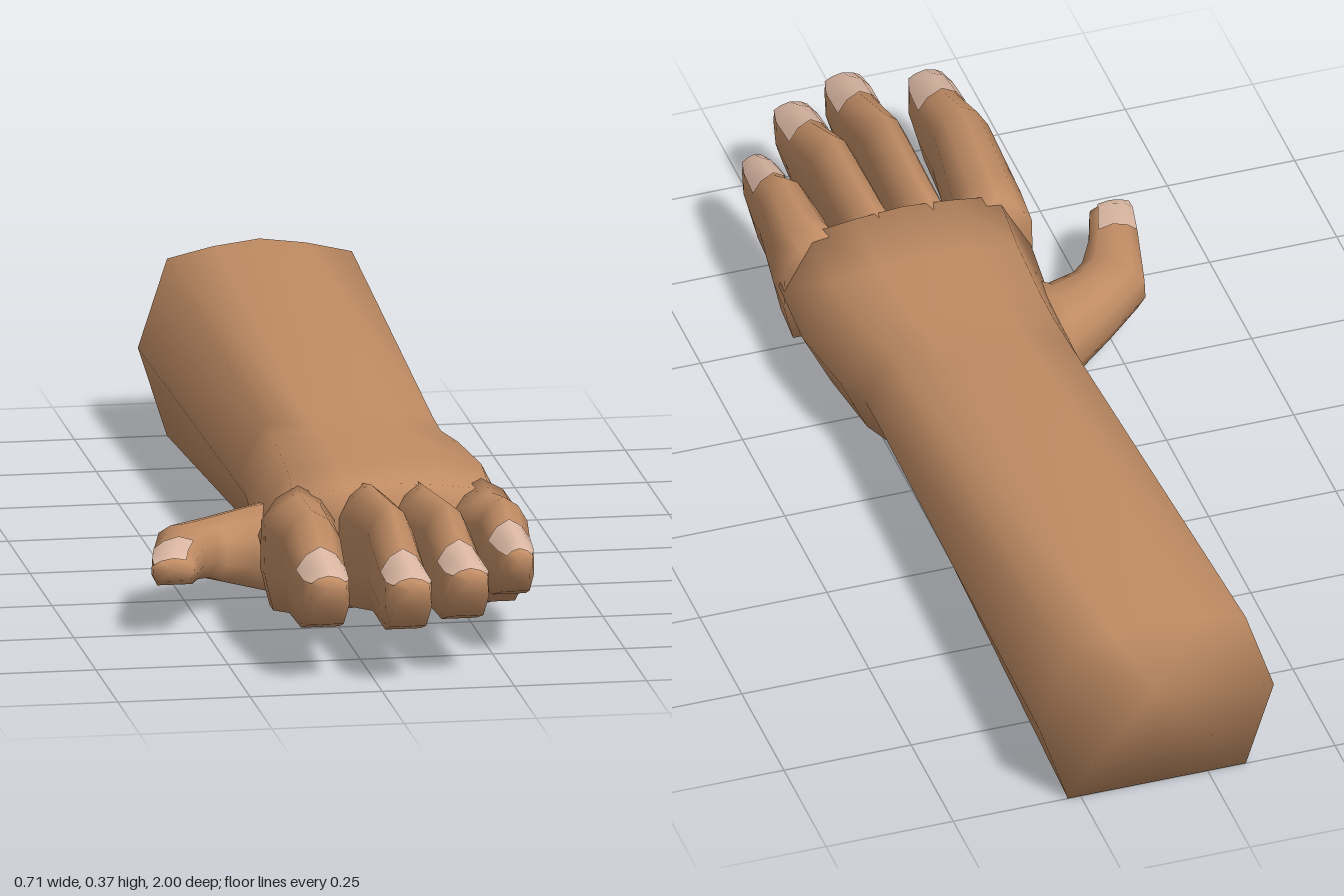
import * as THREE from 'three';

const skin = new THREE.MeshStandardMaterial({ color: 0xc08c64 });
const nailSkin = new THREE.MeshStandardMaterial({ color: 0xdcb8a4, side: THREE.DoubleSide });

// Cross-sections as [across -1..1, height 0..1], counter-clockwise
const ARM = [[1, 0.46], [0.76, 0.915], [0.38, 0.97], [0, 1], [-0.38, 0.97], [-0.76, 0.915],
  [-1, 0.46], [-0.76, 0], [0, 0], [0.76, 0]];
const DIGIT = [[1, 0.32], [0.97, 0.72], [0.58, 0.9], [0, 1], [-0.58, 0.9], [-0.97, 0.72],
  [-1, 0.32], [-0.75, 0], [0.75, 0]];

// One ring between a left and a right point [x, z], from bottom to top height
function ring(profile, [lx, lz], [rx, rz], bottom, top) {
  return profile.map(([u, v]) => {
    const t = (u + 1) / 2;
    return new THREE.Vector3(lx + (rx - lx) * t, bottom + (top - bottom) * v, lz + (rz - lz) * t);
  });
}

// Skin over rings; closed lofts get a cap at both ends
function loft(rings, closed = true) {
  const n = rings[0].length, last = rings.length - 1;
  const points = rings.flat(), index = [];
  for (let i = 0; i < last; i++) {
    for (let j = 0; j < (closed ? n : n - 1); j++) {
      const a = i * n + j, b = i * n + (j + 1) % n;
      index.push(a, b, a + n, b, b + n, a + n);
    }
  }
  if (closed) {
    for (const [i, flip] of [[0, true], [last, false]]) {
      const centre = new THREE.Vector3();
      rings[i].forEach(p => centre.addScaledVector(p, 1 / n));
      const c = points.push(centre) - 1;
      for (let j = 0; j < n; j++) {
        const a = i * n + j, b = i * n + (j + 1) % n;
        if (flip) index.push(c, b, a);
        else index.push(c, a, b);
      }
    }
  }
  const geometry = new THREE.BufferGeometry().setFromPoints(points);
  geometry.setIndex(index);
  geometry.computeVertexNormals();
  return geometry;
}

function addMesh(parent, name, geometry, material) {
  const mesh = new THREE.Mesh(geometry, material);
  mesh.name = name;
  parent.add(mesh);
}

// Thin nail lying just above the upper arc of the last rings
function nail(rings, from, to) {
  const lift = new THREE.Vector3(0, 0.004, 0.002);
  return loft(rings.map(r => r.slice(from, to).map(p => p.clone().add(lift))), false);
}

// Finger: edges [left, right] at the root, past the web and at the tip
function finger(name, tip, knuckle, peak, under, edges) {
  const stops = [0.47, 0.61, tip];
  const edgeAt = (z, side) => {
    const k = z < stops[1] ? 0 : 1;
    return THREE.MathUtils.lerp(edges[k][side], edges[k + 1][side],
      (z - stops[k]) / (stops[k + 1] - stops[k]));
  };
  const sections = [ // z, bottom, top, width factor
    [0.47, 0.04, 0.268, 1],
    [0.55, 0.05, peak - 0.016, 1],
    [knuckle, under, peak, 1],
    [tip - 0.105, under, 0.243, 1],
    [tip - 0.035, under + 0.022, 0.229, 1],
    [tip, 0.165, 0.212, 0.8],
  ];
  const rings = sections.map(([z, bottom, top, f]) => {
    const l = edgeAt(z, 0), r = edgeAt(z, 1);
    const mid = (l + r) / 2, half = (r - l) / 2 * f;
    return ring(DIGIT, [mid - half, z], [mid + half, z], bottom, top);
  });
  const group = new THREE.Group();
  group.name = name;
  addMesh(group, name + 'Skin', loft(rings), skin);
  addMesh(group, name + 'Nail', nail(rings.slice(-3), 1, 6), nailSkin);
  return group;
}

export function createModel() {
  const model = new THREE.Group();
  model.name = 'forearmAndHand';

  // Forearm, wrist and palm: z, left x, right x, bottom, top
  const arm = [
    [-1, -0.13, 0.33, 0, 0.372],
    [0, -0.11, 0.312, 0.047, 0.291],
    [0.09, -0.108, 0.312, 0.049, 0.286],
    [0.17, -0.113, 0.335, 0.035, 0.284],
    [0.33, -0.125, 0.356, 0.03, 0.281],
    [0.5, -0.143, 0.347, 0.036, 0.272],
  ].map(([z, l, r, bottom, top]) => ring(ARM, [l, z], [r, z], bottom, top));
  addMesh(model, 'forearmAndPalm', loft(arm), skin);

  // Four fingers
  model.add(
    finger('indexFinger', 0.96, 0.74, 0.288, 0.092, [[-0.143, 0], [-0.152, -0.025], [-0.137, -0.052]]),
    finger('middleFinger', 1, 0.75, 0.3, 0.092, [[-0.004, 0.103], [0.014, 0.101], [0.011, 0.1]]),
    finger('ringFinger', 0.945, 0.73, 0.291, 0.094, [[0.1, 0.206], [0.117, 0.206], [0.133, 0.218]]),
    finger('littleFinger', 0.81, 0.65, 0.276, 0.103, [[0.203, 0.346], [0.235, 0.337], [0.26, 0.322]]),
  );

  // Thumb: outer point, inner point, bottom, top
  const thumbRings = [
    [[-0.06, 0.11], [-0.06, 0.44], 0.035, 0.19],
    [[-0.125, 0.162], [-0.135, 0.36], 0.04, 0.178],
    [[-0.225, 0.235], [-0.19, 0.375], 0.06, 0.172],
    [[-0.308, 0.3], [-0.212, 0.392], 0.075, 0.172],
    [[-0.342, 0.445], [-0.245, 0.45], 0.09, 0.17],
    [[-0.356, 0.515], [-0.268, 0.515], 0.098, 0.166],
    [[-0.358, 0.543], [-0.278, 0.543], 0.112, 0.152],
  ].map(([l, r, bottom, top]) => ring(DIGIT, l, r, bottom, top));
  const thumb = new THREE.Group();
  thumb.name = 'thumb';
  addMesh(thumb, 'thumbSkin', loft(thumbRings), skin);
  addMesh(thumb, 'thumbNail', nail(thumbRings.slice(-3), 2, 6), nailSkin);
  model.add(thumb);

  return model;
}
